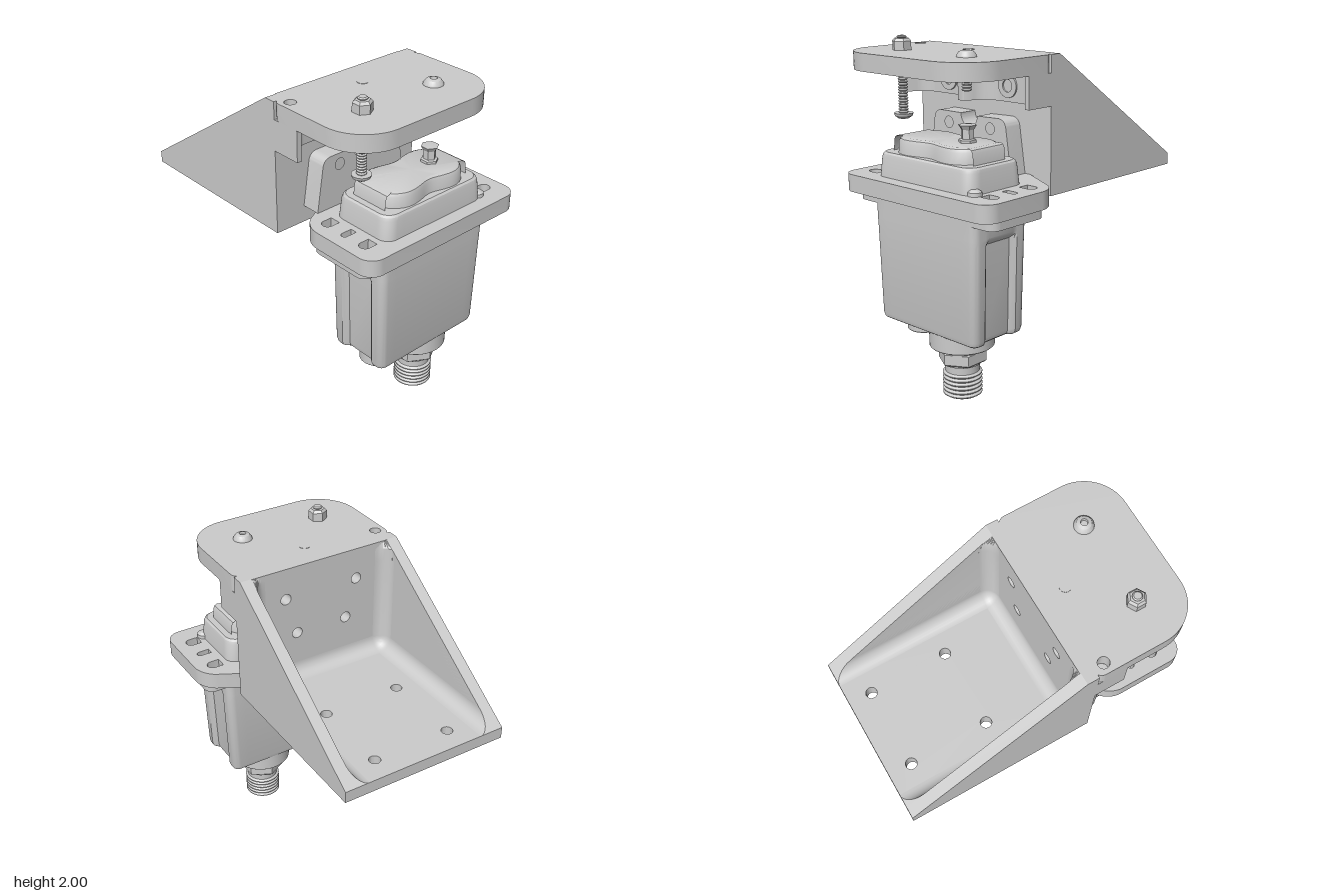
import * as THREE from 'three';
import { toCreasedNormals } from 'three/addons/utils/BufferGeometryUtils.js';

const grey = new THREE.MeshStandardMaterial({ color: 0xcccccc });
const thin = new THREE.MeshStandardMaterial({ color: 0xcccccc, side: THREE.DoubleSide });

export function createModel() {
  const model = new THREE.Group();
  const add = (name, geo, mat = grey) => {
    const mesh = new THREE.Mesh(toCreasedNormals(geo, 0.5), mat);
    mesh.name = name;
    model.add(mesh);
    return mesh;
  };
  const poly = pts => new THREE.Shape(pts.map(p => new THREE.Vector2(...p)));
  const hole = (shape, x, y, r) => {
    shape.holes.push(new THREE.Path().absarc(x, y, r, 0, Math.PI * 2, true));
    return shape;
  };
  // polygon with a radius on each corner: [x, y, r]
  const rounded = pts => {
    const s = new THREE.Shape(), n = pts.length;
    pts.forEach(([x, y, r], i) => {
      const toward = q => {
        const dx = q[0] - x, dy = q[1] - y, l = Math.hypot(dx, dy);
        return [x + dx / l * r, y + dy / l * r];
      };
      const a = toward(pts[(i + n - 1) % n]), b = toward(pts[(i + 1) % n]);
      i ? s.lineTo(...a) : s.moveTo(...a);
      const k = 0.55, mix = p => [p[0] + (x - p[0]) * k, p[1] + (y - p[1]) * k];
      if (r) s.bezierCurveTo(...mix(a), ...mix(b), ...b);
    });
    s.closePath();
    return s;
  };
  const rect = (x0, x1, y0, y1, r) => rounded([[x0, y0, r], [x1, y0, r], [x1, y1, r], [x0, y1, r]]);
  const extrude = (shape, depth) =>
    new THREE.ExtrudeGeometry(shape, { depth, bevelEnabled: false, curveSegments: 16 });
  // shape drawn in x,z and spanning y0..y1
  const slab = (name, shape, y0, y1) =>
    add(name, extrude(shape, y1 - y0).rotateX(Math.PI / 2).translate(0, y1, 0));
  // shape drawn in x,y and spanning z0..z1
  const upright = (name, shape, z0, z1) => add(name, extrude(shape, z1 - z0).translate(0, 0, z0));
  const turned = (name, x, z, pts, sides = 40) =>
    add(name, new THREE.LatheGeometry(pts.map(p => new THREE.Vector2(...p)), sides).translate(x, 0, z));
  const thread = (y0, y1, r, depth, n) => {
    const pts = [], p = (y1 - y0) / n;
    for (let i = 0; i < n; i++) {
      const y = y0 + i * p;
      pts.push([r - depth, y], [r, y + p * 0.4], [r, y + p * 0.6]);
    }
    return [...pts, [r - depth, y1]];
  };
  // closed solid through rings of equal length (x to z order, going up)
  const loft = (name, rings) => {
    const n = rings[0].length, pos = rings.flat(2), idx = [];
    for (let i = 0; i + 1 < rings.length; i++) for (let j = 0; j < n; j++) {
      const a = i * n + j, b = i * n + (j + 1) % n;
      idx.push(a, a + n, b, b, a + n, b + n);
    }
    [0, rings.length - 1].forEach((ri, k) => {
      const c = pos.length / 3, ring = rings[ri];
      pos.push(...[0, 1, 2].map(d => ring.reduce((s, p) => s + p[d], 0) / n));
      for (let j = 0; j < n; j++) {
        const a = ri * n + j, b = ri * n + (j + 1) % n;
        k ? idx.push(c, b, a) : idx.push(c, a, b);
      }
    });
    const g = new THREE.BufferGeometry();
    g.setAttribute('position', new THREE.Float32BufferAttribute(pos, 3));
    g.setIndex(idx);
    return add(name, g);
  };

  // ---- angle bracket ----
  const BX0 = -0.6, BX1 = 0.43, MID = -0.085, mirror = x => 2 * MID - x;
  const wall = poly([[-0.23, 1.14], [0.9, 1.14], [0.9, 1.21], [-0.16, 1.92], [-0.23, 1.92]]);
  for (const [name, x] of [['bracketWallRight', BX0], ['bracketWallLeft', 0.36]])
    add(name, extrude(wall, 0.07).rotateY(Math.PI / 2).translate(x, 0, 0));
  const floor = rect(-0.53, 0.36, -0.9, 0.23, 0), pad = rect(-0.43, 0.27, -0.86, -0.165, 0.05);
  for (const x of [-0.325, 0.155]) for (const z of [-0.76, -0.28]) {
    hole(floor, x, z, 0.033);
    hole(pad, x, z, 0.033);
  }
  slab('bracketFloor', floor, 1.14, 1.21);
  slab('bracketPad', pad, 1.12, 1.14);
  const back = rect(-0.53, 0.36, 1.2, 1.92, 0);
  for (const [x, y] of [[-0.32, 1.73], [-0.25, 1.49]])
    for (const px of [x, mirror(x)]) hole(back, px, y, 0.033);
  upright('bracketPlate', back, 0.155, 0.23);

  // rounded inside corners of the bracket, trimmed along the sloping rim
  {
    const x0 = -0.53, x1 = 0.36, y0 = 1.21, zp = 0.155, r = 0.08, N = 8;
    const slope = y => 0.16 - (1.92 - y) * 1.06 / 0.71;
    const core = [1.92, 1.88, 1.8].map(y => [x0 + r, y, -1, 0]);
    for (let k = 0; k <= N; k++) {
      const a = Math.PI + k / N * Math.PI / 2;
      core.push([x0 + r, y0 + r, Math.cos(a), Math.sin(a)]);
    }
    const half = core.length;
    for (let k = half - 1; k >= 0; k--) core.push([x1 - r, core[k][1], -core[k][2], core[k][3]]);
    const ring = (rho, z, rim) => core.map(([x, y, dx, dy], i) => {
      const py = y + dy * rho;
      return [rim ? (i < half ? x0 : x1) : x + dx * rho, py, Math.max(z, slope(py))];
    });
    const rings = [];
    for (let k = 0; k <= N; k++) {
      const t = k / N * Math.PI / 2;
      rings.push(ring(r * Math.sin(t), zp - r * (1 - Math.cos(t))));
    }
    rings.push(ring(r, -2), ring(r, -2, true));
    const n = core.length, idx = [];
    for (let i = 0; i + 1 < rings.length; i++) for (let j = 0; j + 1 < n; j++) {
      if (i >= N && j === half - 1) continue; // the floor itself stays drilled
      const a = i * n + j;
      idx.push(a, a + 1, a + n, a + 1, a + n + 1, a + n);
    }
    const g = new THREE.BufferGeometry();
    g.setAttribute('position', new THREE.Float32BufferAttribute(rings.flat(2), 3));
    g.setIndex(idx);
    add('bracketInnerFillet', g, thin);
  }

  // ---- top plate with its ribbed rear block ----
  const top = rounded([[BX0, 0.22, 0.05], [BX1, 0.22, 0.05], [BX1, 0.875, 0.25], [BX0, 0.875, 0.25]]);
  hole(top, -0.54, 0.29, 0.033);
  slab('topPlate', top, 1.82, 1.92);
  turned('plugScrew', MID, 0.34, [[0, 1.8], [0.033, 1.8], [0.033, 1.922], [0, 1.922]]);
  const ribs = [[BX0, 0.41, 0], [-0.57, 0.41, 0], [-0.5, 0.27, 0.07], [-0.17, 0.27, 0.09], [-0.11, 0.41, 0.01]];
  const block = rounded([[BX1, 0.23, 0], [BX0, 0.23, 0], ...ribs,
    ...ribs.slice().reverse().map(([x, z, r]) => [mirror(x), z, r])]);
  slab('rearBlock', block, 1.64, 1.82);
  for (const x of [-0.32, mirror(-0.32)])
    upright('screwSeat', hole(new THREE.Shape().absarc(x, 1.73, 0.067, 0, Math.PI * 2), x, 1.73, 0.035), 0.265, 0.28);

  // notched backing plate
  const notch = new THREE.Shape();
  notch.moveTo(-0.41, 1.24);
  notch.lineTo(-0.37, 1.51);
  notch.quadraticCurveTo(-0.36, 1.555, -0.31, 1.555);
  notch.lineTo(MID - 0.065, 1.555);
  notch.absarc(MID, 1.55, 0.065, Math.PI, 0, false);
  notch.lineTo(mirror(-0.31), 1.555);
  notch.quadraticCurveTo(mirror(-0.36), 1.555, mirror(-0.37), 1.51);
  notch.lineTo(mirror(-0.41), 1.24);
  for (const x of [-0.25, mirror(-0.25)]) hole(notch, x, 1.49, 0.033);
  upright('backingPlate', notch, 0.23, 0.345);

  // ---- adjusting bolts ----
  const BZ = 0.61, LX = -0.34, RX = 0.17;
  turned('longBoltHead', LX, BZ, [[0, 1.535], [0.03, 1.536], [0.05, 1.55], [0.055, 1.567], [0, 1.567]]);
  turned('longBoltThread', LX, BZ, thread(1.565, 2, 0.028, 0.007, 28).concat([[0, 2]]), 20);
  turned('nut', LX, BZ, [[0.028, 1.92], [0.055, 1.92], [0.055, 1.97], [0.042, 1.985], [0.02, 1.985]], 6);
  turned('shortBoltHead', RX, BZ, [[0.056, 1.92], [0.054, 1.93], [0.04, 1.948], [0.02, 1.955], [0.018, 1.94], [0, 1.94]]);
  turned('shortBoltThread', RX, BZ, [[0, 1.74], ...thread(1.74, 1.83, 0.028, 0.007, 6)], 20);
  for (const x of [LX, RX]) turned('washer', x, BZ, [[0, 1.805], [0.067, 1.805], [0.067, 1.82]]);

  // ---- switch flange ----
  const CX = 0.025, CZ = 0.615;
  const flange = rounded([[0.28, 0.23, 0], [0.595, 0.398, 0.09], [0.595, 0.905, 0.09],
    [-0.545, 0.905, 0.09], [-0.545, 0.398, 0.09], [-0.23, 0.23, 0]]);
  const lower = rect(-0.51, 0.555, 0.41, 0.82, 0.06);
  for (const s of [-1, 1]) {
    const slot = (x0, x1, z, w) => {
      const p = new THREE.Path();
      p.moveTo(CX + s * x0, z - w);
      p.lineTo(CX + s * x1, z - w);
      p.absarc(CX + s * x1, z, w, -Math.PI / 2, Math.PI / 2, s < 0);
      p.lineTo(CX + s * x0, z + w);
      p.closePath();
      flange.holes.push(p);
    };
    for (const z of [0.46, 0.75]) {
      slot(0.41, 0.465, z, 0.033);
      hole(lower, CX + s * 0.465, z, 0.033);
    }
    slot(0.41, 0.475, 0.605, 0.02);
  }
  slab('flange', flange, 1.14, 1.24);
  slab('lowerFlange', lower, 1.08, 1.14);
  turned('flangeScrew', 0.39, 0.78, [[0, 1.23], [0.04, 1.23], [0.038, 1.26], [0.02, 1.272], [0, 1.273]], 24);

  // ---- housing: rounded rectangle sections with side recesses or a waist ----
  const section = (y, hx, hz, r, dent = 0, waist = 0) => {
    const pts = [];
    for (let q = 0; q < 4; q++) {
      const sx = q === 0 || q === 3 ? 1 : -1, sz = q < 2 ? 1 : -1;
      for (let k = 0; k <= 8; k++) {
        const a = (q + k / 8) * Math.PI / 2;
        pts.push([sx * (hx - r) + r * Math.cos(a), sz * (hz - r) + r * Math.sin(a)]);
      }
      if (q % 2 === 0) for (let k = 1; k < 12; k++) pts.push([sx * (hx - r) * (1 - k / 6), sz * hz]);
      else for (const [z, d] of [[0.12, 0], [0.108, 0.3], [0.09, 1], [-0.09, 1], [-0.108, 0.3], [-0.12, 0]])
        pts.push([sx * (hx - d * dent), -sx * z]);
    }
    return pts.map(([x, z]) => [CX + x, y, CZ + z * (1 - waist * Math.exp(-((x / 0.09) ** 2)))]);
  };
  loft('housing', [section(0.395, 0.36, 0.175, 0.03, 0.025), section(0.405, 0.375, 0.19, 0.04, 0.028),
    section(0.43, 0.383, 0.197, 0.045, 0.03), section(0.96, 0.396, 0.204, 0.045, 0.03),
    section(0.985, 0.397, 0.205, 0.045, 0.008), section(1.0, 0.397, 0.205, 0.045),
    section(1.14, 0.4, 0.207, 0.045)]);
  loft('capBase', [section(1.23, 0.375, 0.207, 0.07), section(1.35, 0.365, 0.198, 0.07),
    section(1.368, 0.36, 0.193, 0.07), section(1.378, 0.35, 0.183, 0.07)]);
  loft('capTop', [section(1.37, 0.312, 0.175, 0.16, 0, 0.18), section(1.44, 0.306, 0.168, 0.15, 0, 0.18),
    section(1.458, 0.297, 0.16, 0.145, 0, 0.18), section(1.466, 0.28, 0.143, 0.13, 0, 0.18)]);
  turned('plunger', RX, BZ, [[0.05, 1.46], [0.05, 1.48], [0.036, 1.485], [0.036, 1.535], [0.052, 1.56], [0, 1.565]], 6);

  // ---- cable entry and side stub ----
  const KX = 0.11;
  turned('connectorCollar', KX, CZ, [[0, 0.3], [0.18, 0.3], [0.185, 0.305], [0.185, 0.41]], 48);
  turned('connectorNeck', KX, CZ, [[0.09, 0.19], [0.108, 0.19], [0.108, 0.26], [0.122, 0.265], [0.122, 0.31]], 48);
  turned('connectorHex', KX, CZ, [[0.1, 0.2], [0.128, 0.2], [0.14, 0.21], [0.14, 0.27], [0.1, 0.275]], 6);
  turned('connectorThread', KX, CZ, [[0, 0.13], [0.088, 0.13], [0.088, 0.002], [0.095, 0],
    ...thread(0, 0.145, 0.112, 0.014, 6), [0.1, 0.2]], 48);
  turned('sideStub', -0.2, CZ, [[0, 0.345], [0.04, 0.345], [0.04, 0.33], [0.07, 0.33], [0.07, 0.315],
    [0.095, 0.315], [0.1, 0.32], [0.1, 0.41]]);
  add('stubLink', new THREE.BoxGeometry(0.06, 0.07, 0.08).translate(-0.09, 0.37, CZ));
  return model;
}
